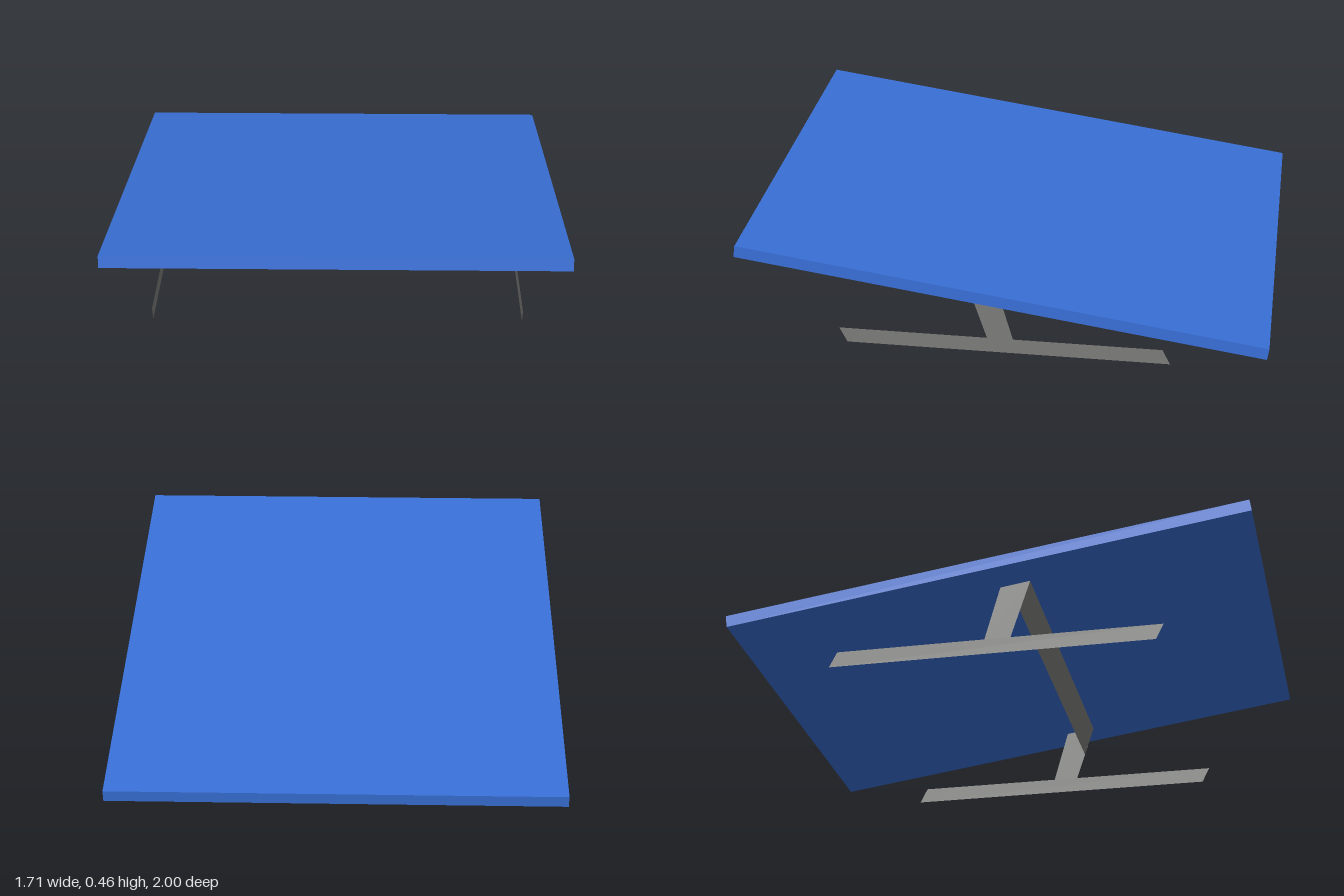
import * as THREE from 'three';

export function createModel() {
  const model = new THREE.Group();
  const blue = new THREE.MeshStandardMaterial({ color: 0x386fd6 });
  blue.name = 'panel blue';
  const grey = new THREE.MeshStandardMaterial({ color: 0x7a7a78, side: THREE.DoubleSide });
  grey.name = 'frame grey';

  const add = (name, geometry, material, parent = model) => {
    const mesh = new THREE.Mesh(geometry, material);
    mesh.name = name;
    parent.add(mesh);
    return mesh;
  };

  // Flat sheet in the side plane, outlined by [z, y] points
  const sidePlate = (points) => {
    const shape = new THREE.Shape(points.map(([z, y]) => new THREE.Vector2(z, y)));
    return new THREE.ShapeGeometry(shape).rotateY(-Math.PI / 2);
  };

  // Sloping table top, raised at the front
  const top = add('tableTop', new THREE.BoxGeometry(1.71, 0.0465, 2.013), blue);
  top.position.y = 0.299;
  top.rotation.x = -0.1405;

  // Sheet legs: a long foot with slanted ends and a leaning post
  const foot = sidePlate([[0.615, 0], [-0.63, 0], [-0.6, 0.06], [0.645, 0.06]]);
  const post = sidePlate([[0.07, 0.06], [-0.03, 0.06], [0.03, 0.272], [0.145, 0.289]]);
  for (const [side, x] of [['left', 0.71], ['right', -0.71]]) {
    const leg = new THREE.Group();
    leg.name = side + 'Leg';
    leg.position.x = x;
    model.add(leg);
    add(side + 'Foot', foot, grey, leg);
    add(side + 'Post', post, grey, leg);
  }

  // Crossbar strip along the front edges of the posts
  const bar = add('crossbar', new THREE.PlaneGeometry(1.42, 0.1265), grey);
  bar.position.set(0, 0.228, 0.125);
  bar.rotation.x = Math.atan2(0.0395, 0.12);

  return model;
}
